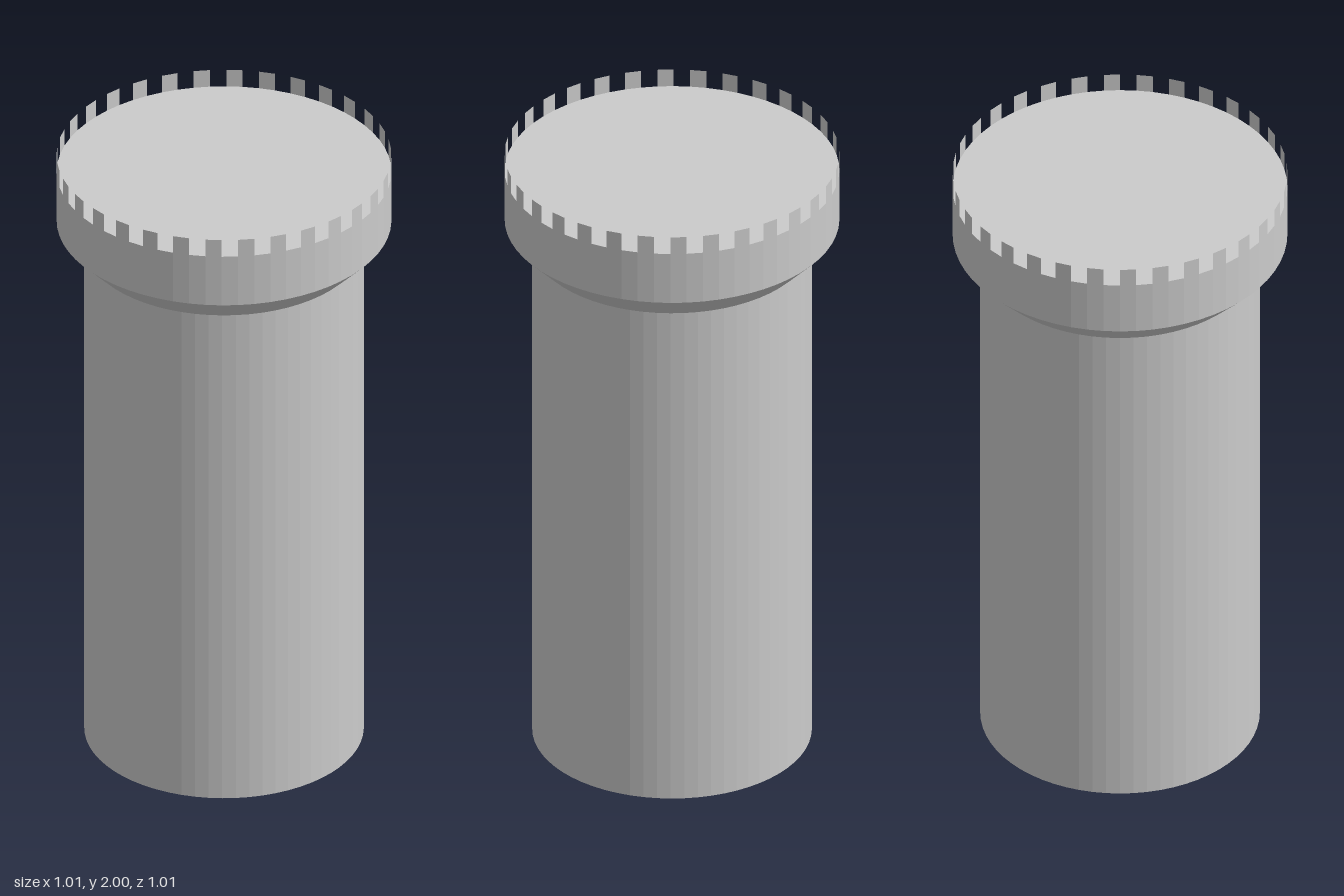
import * as THREE from 'three';

const SIDES = 64;
const BODY_R = 0.421, HEAD_R = 0.504;
const NECK_Y = 1.688, HEAD_Y = 1.772, FLOOR_Y = 1.942, TOP_Y = 2;

export function createModel() {
  const tower = new THREE.Group();
  tower.name = 'tower';
  const solid = new THREE.MeshStandardMaterial({ color: 0xcccccc, flatShading: true });
  const thin = new THREE.MeshStandardMaterial({ color: 0xcccccc, flatShading: true, side: THREE.DoubleSide });

  const add = (name, geometry, y, material = solid, parent = tower) => {
    const mesh = new THREE.Mesh(geometry, material);
    mesh.name = name;
    mesh.position.y = y;
    parent.add(mesh);
    return mesh;
  };

  // Open ring of wall between two heights
  const ring = (name, rBottom, rTop, y0, y1) =>
    add(name, new THREE.CylinderGeometry(rTop, rBottom, y1 - y0, SIDES, 1, true), (y0 + y1) / 2);

  ring('shaft', BODY_R, BODY_R, 0, NECK_Y);
  ring('flaredNeck', BODY_R, HEAD_R, NECK_Y, HEAD_Y);
  ring('parapetWall', HEAD_R, HEAD_R, HEAD_Y, FLOOR_Y);

  // Base and roof discs, their rims aligned with the wall facets
  const disc = (name, r, y, facing) => {
    const geometry = new THREE.CircleGeometry(r, SIDES);
    geometry.rotateX(-facing * Math.PI / 2);
    add(name, geometry, y);
  };
  disc('base', BODY_R, 0, -1);
  disc('roofFloor', HEAD_R, FLOOR_Y, 1);

  // Thin merlons on every second facet of the rim
  const battlements = new THREE.Group();
  battlements.name = 'battlements';
  tower.add(battlements);
  const step = (Math.PI * 2) / SIDES;
  const merlon = new THREE.CylinderGeometry(HEAD_R, HEAD_R, TOP_Y - FLOOR_Y, 1, 1, true, 0, step);
  for (let i = 1; i < SIDES; i += 2) {
    add('merlon', merlon, (FLOOR_Y + TOP_Y) / 2, thin, battlements).rotation.y = i * step;
  }

  return tower;
}
